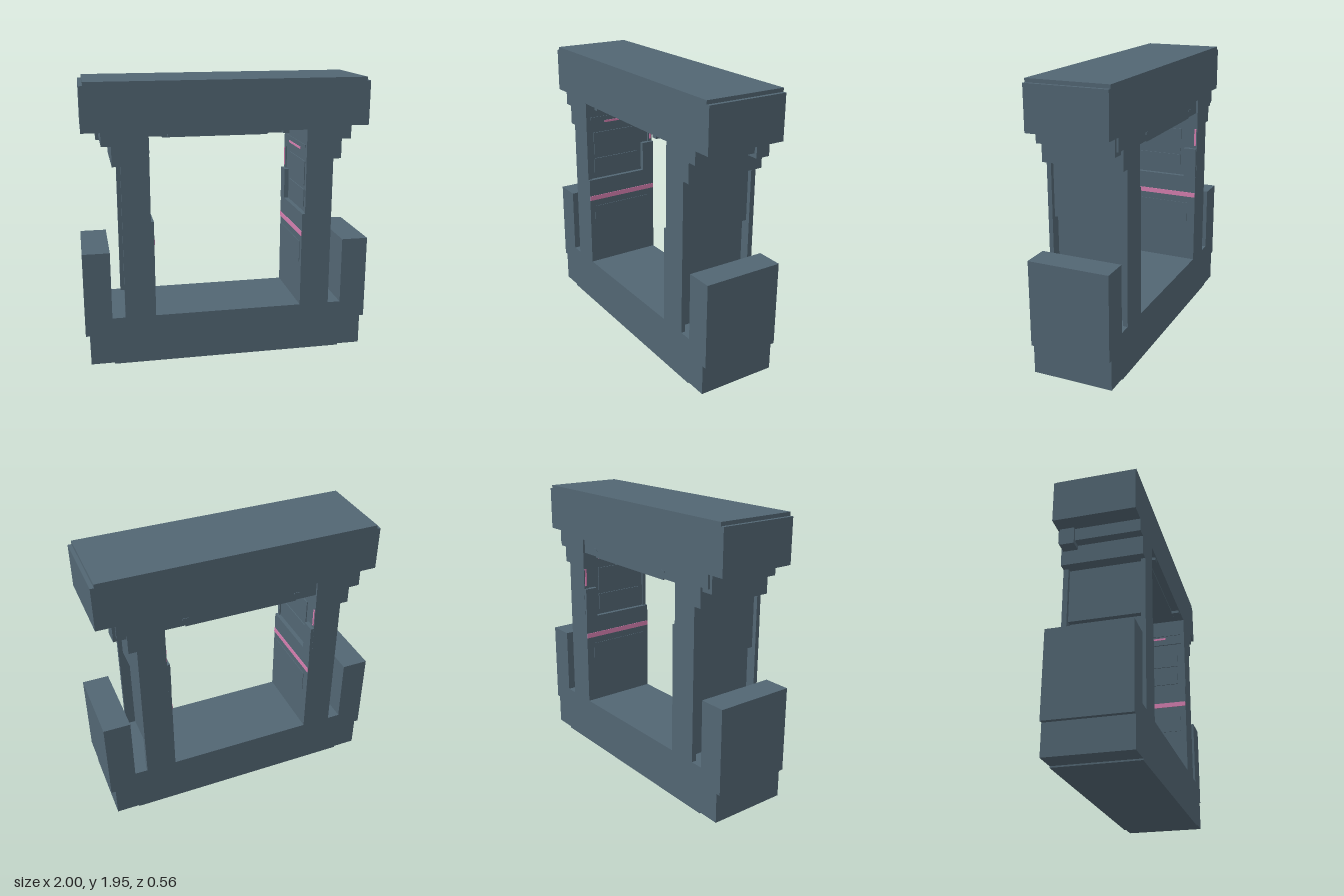
import * as THREE from 'three';

export function createModel() {
  const model = new THREE.Group();
  const slate = new THREE.MeshStandardMaterial({ color: 0x526673 });
  slate.name = 'slate';
  const pink = new THREE.MeshStandardMaterial({ color: 0xd67fb0 });
  pink.name = 'pink';

  // Box given by its limits on each axis
  function box(name, [x0, x1], [y0, y1], [z0, z1], material = slate) {
    const mesh = new THREE.Mesh(new THREE.BoxGeometry(x1 - x0, y1 - y0, z1 - z0), material);
    mesh.position.set((x0 + x1) / 2, (y0 + y1) / 2, (z0 + z1) / 2);
    mesh.name = name;
    model.add(mesh);
  }
  // The same box on both sides of the passage
  function pair(name, [x0, x1], y, z, material) {
    box(name + 'Left', [x0, x1], y, z, material);
    box(name + 'Right', [-x1, -x0], y, z, material);
  }
  // Mirrored profile from its +x half, extruded through the full depth
  function slab(name, half) {
    const mirrored = half.map(([x, y]) => [-x, y]).reverse();
    const shape = new THREE.Shape([...half, ...mirrored].map(([x, y]) => new THREE.Vector2(x, y)));
    const geometry = new THREE.ExtrudeGeometry(shape, { depth: 0.56, bevelEnabled: false });
    geometry.translate(0, 0, -0.28);
    const mesh = new THREE.Mesh(geometry, slate);
    mesh.name = name;
    model.add(mesh);
  }

  // Floor with the two outer buttresses
  slab('floorAndButtresses', [
    [0.81, 0], [0.81, 0.01], [0.97, 0.01], [0.97, 0.22], [1, 0.22],
    [1, 0.81], [0.815, 0.81], [0.815, 0.34],
  ]);
  // Roof with stepped shoulders
  slab('steppedRoof', [
    [0.535, 1.6], [0.535, 1.395], [0.78, 1.395], [0.78, 1.53], [0.845, 1.53],
    [0.845, 1.62], [0.97, 1.62], [0.97, 1.92], [0.945, 1.92], [0.945, 1.945],
  ]);
  pair('shoulderBlock', [0.76, 0.865], [1.5, 1.63], [-0.265, -0.165]);

  // Walls: end posts around a core recessed on the outside
  for (const [end, z] of [['front', [0.25, 0.28]], ['back', [-0.28, -0.245]]]) {
    pair(end + 'LowerPost', [0.515, 0.725], [0.33, 1.012], z);
    pair(end + 'UpperPost', [0.535, 0.725], [1.012, 1.4], z);
  }
  pair('lowerWall', [0.515, 0.655], [0.33, 1.012], [-0.245, 0.25]);
  pair('upperWall', [0.545, 0.695], [1.012, 1.4], [-0.245, 0.25]);

  // Inside wall details
  pair('wallStep', [0.513, 0.56], [1.0, 1.23], [-0.279, -0.185]);
  pair('upperPanel', [0.538, 0.55], [1.2, 1.37], [-0.15, 0.22]);
  pair('lowerPanel', [0.538, 0.55], [1.05, 1.17], [-0.15, 0.22]);
  pair('topRail', [0.53, 0.54], [1.47, 1.49], [-0.2, 0.25]);
  pair('wallPlate', [0.511, 0.518], [0.65, 0.8], [-0.22, 0.24]);

  // Pink light strips
  pair('longLight', [0.511, 0.519], [0.85, 0.885], [-0.278, 0.278], pink);
  pair('upperLight', [0.531, 0.539], [1.44, 1.455], [-0.15, 0.13], pink);
  pair('uprightLight', [0.531, 0.539], [1.25, 1.38], [-0.272, -0.258], pink);

  // Ceiling beam near the back, with small slots and plates
  box('ceilingBeam', [-0.54, 0.54], [1.5, 1.61], [-0.265, -0.225]);
  box('beamLip', [-0.39, 0.39], [1.49, 1.51], [-0.262, -0.23]);
  pair('beamSlot', [0.37, 0.41], [1.54, 1.555], [-0.269, -0.262]);
  box('ceilingPlate', [-0.45, 0.45], [1.59, 1.605], [-0.2, 0.22]);
  pair('ceilingTab', [0.37, 0.41], [1.58, 1.605], [0.22, 0.275]);

  return model;
}
